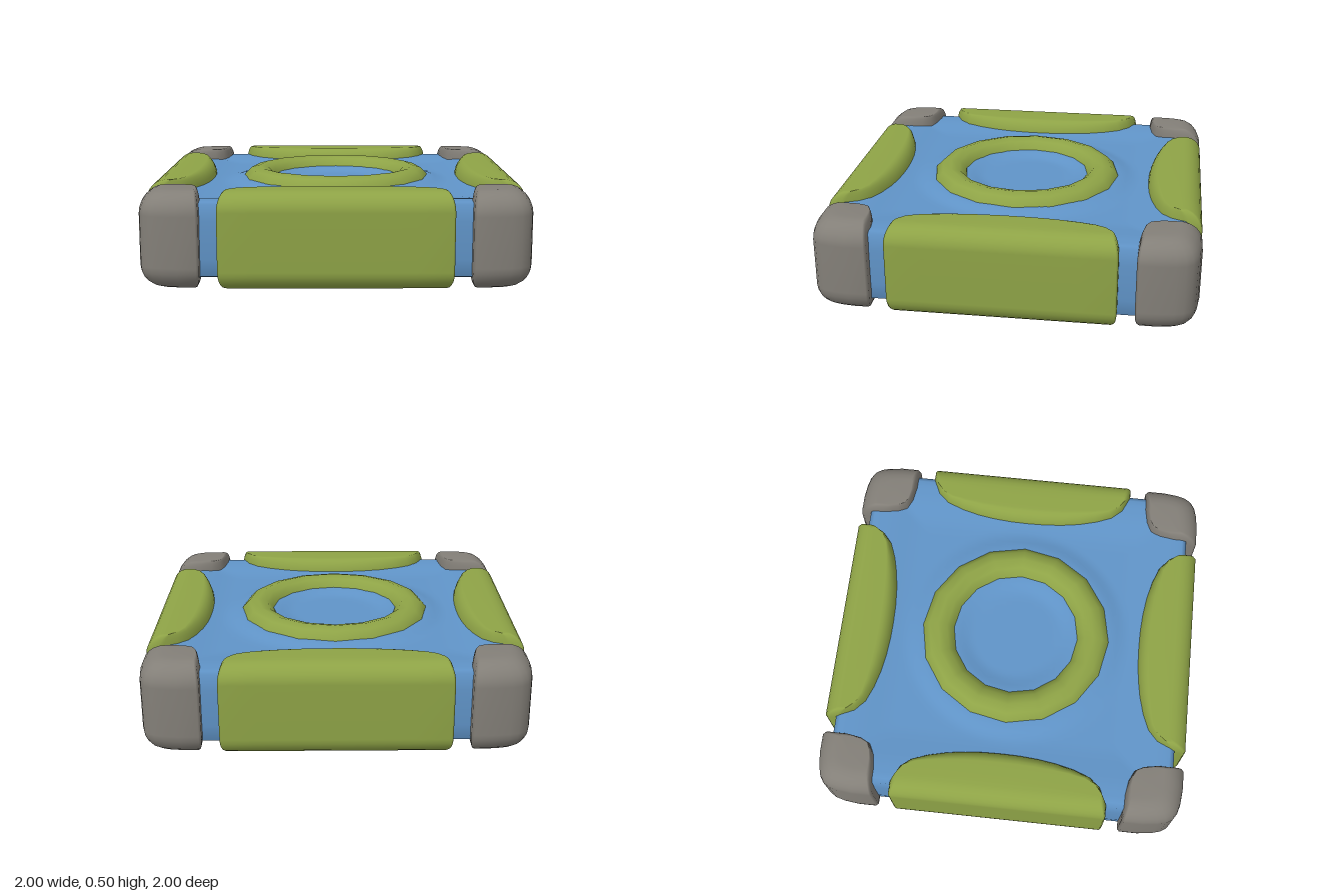
import * as THREE from 'three';
import { mergeVertices } from 'three/addons/utils/BufferGeometryUtils.js';

const MID = 0.25; // height of the symmetry plane

function material(name, color) {
  const m = new THREE.MeshStandardMaterial({ color });
  m.name = name;
  return m;
}

// Stacked loops with rounded top and bottom; place(point, s) insets a plan point by s = 0..1
function cushion(outline, center, radius, place) {
  const steps = 6, n = outline.length, pos = [], idx = [], levels = [];
  for (let k = 0; k <= steps; k++) {
    const a = (k / steps) * Math.PI / 2;
    levels.push([0.25 - radius + radius * Math.sin(a), 1 - Math.cos(a)]);
  }
  const all = [...levels.map(([h, s]) => [-h, s]).reverse(), ...levels];
  for (const [h, s] of all) {
    for (const p of outline) {
      const [x, z] = place(p, s);
      pos.push(x, MID + h, z);
    }
  }
  const bottom = all.length * n, top = bottom + 1, last = (all.length - 1) * n;
  pos.push(center[0], 0, center[1], center[0], 0.5, center[1]);
  for (let j = 0; j < n; j++) {
    const q = (j + 1) % n;
    for (let l = 0; l < all.length - 1; l++) {
      const a = l * n + j, b = l * n + q;
      idx.push(a, a + n, b, b, a + n, b + n);
    }
    idx.push(top, last + q, last + j, bottom, j, q);
  }
  const g = new THREE.BufferGeometry();
  g.setAttribute('position', new THREE.Float32BufferAttribute(pos, 3));
  g.setIndex(idx);
  g.computeVertexNormals();
  return g;
}

// Square slab with softened edges, a raised rim and a swell around the ring
function bodyGeometry() {
  const half = 0.945, h = 0.17, r = 0.03;
  let g = new THREE.BoxGeometry(half * 2, h * 2, half * 2, 56, 4, 56);
  g.deleteAttribute('normal');
  g.deleteAttribute('uv');
  g = mergeVertices(g);
  const p = g.attributes.position, v = new THREE.Vector3(), c = new THREE.Vector3();
  const inner = new THREE.Vector3(half - r, h - r, half - r);
  for (let i = 0; i < p.count; i++) {
    v.fromBufferAttribute(p, i);
    c.copy(v).clamp(inner.clone().negate(), inner);
    const d = v.clone().sub(c);
    if (d.length() > r) v.copy(c).addScaledVector(d.normalize(), r);
    const rim = THREE.MathUtils.smoothstep(Math.max(Math.abs(v.x), Math.abs(v.z)), 0.6, 0.85);
    const swell = 1 - THREE.MathUtils.smoothstep(Math.abs(Math.hypot(v.x, v.z) - 0.44), 0.08, 0.2);
    v.y += (v.y / h) * (0.022 * rim + 0.025 * swell);
    p.setXYZ(i, v.x, v.y + MID, v.z);
  }
  g.computeVertexNormals();
  return g;
}

export function createModel() {
  const green = material('olive green', 0x8ea346);
  const blue = material('steel blue', 0x6094c8);
  const gray = material('warm gray', 0x837f78);
  const group = new THREE.Group();
  const add = (name, geometry, mat) => {
    const m = new THREE.Mesh(geometry, mat);
    m.name = name;
    group.add(m);
    return m;
  };

  add('body', bodyGeometry(), blue);

  // Side panels: straight outside, bowed inside
  const bow = [[0.1, 0.702], [0.2, 0.71], [0.3, 0.725], [0.4, 0.75], [0.49, 0.785],
    [0.55, 0.84], [0.58, 0.91], [0.59, 0.935], [0.59, 0.99], [0.58, 1], [0.4, 1], [0.2, 1]];
  const panelOutline = [[0, 0.7], ...bow, [0, 1], ...bow.map(([x, z]) => [-x, z]).reverse()];
  const panel = cushion(panelOutline, [0, 0.86], 0.1, ([x, z], s) => [
    x * (1 - 0.07 * s),
    THREE.MathUtils.lerp(0.7 + 0.07 * s, 1 - 0.1 * s, (z - 0.7) / 0.3),
  ]);

  // Corner guards: large outer rounding, tight edges beside the gaps
  const cornerOutline = [[1, 0.04], [1, 0.35], [0.97, 0.6], [0.93, 0.75], [0.86, 0.86],
    [0.75, 0.93], [0.6, 0.97], [0.35, 1], [0.04, 1], [0, 0.96], [0, 0.6], [0.05, 0.32],
    [0.14, 0.14], [0.32, 0.05], [0.6, 0], [0.96, 0]];
  const corner = cushion(cornerOutline, [0.81, 0.81], 0.12, (p, s) =>
    p.map((u) => THREE.MathUtils.lerp(0.68 + 0.03 * s, 1 - 0.12 * s, u)));

  const sides = ['front', 'left', 'back', 'right'];
  const corners = ['frontLeft', 'backLeft', 'backRight', 'frontRight'];
  for (let i = 0; i < 4; i++) {
    add(sides[i] + 'Panel', panel, green).rotation.y = i * Math.PI / 2;
    add(corners[i] + 'Corner', corner, gray).rotation.y = i * Math.PI / 2;
  }

  // Rings half sunk into the top and underside
  const ring = new THREE.TorusGeometry(0.44, 0.1, 12, 16).rotateX(Math.PI / 2);
  add('topRing', ring, green).position.y = 0.4;
  add('bottomRing', ring, green).position.y = 0.1;

  return group;
}
